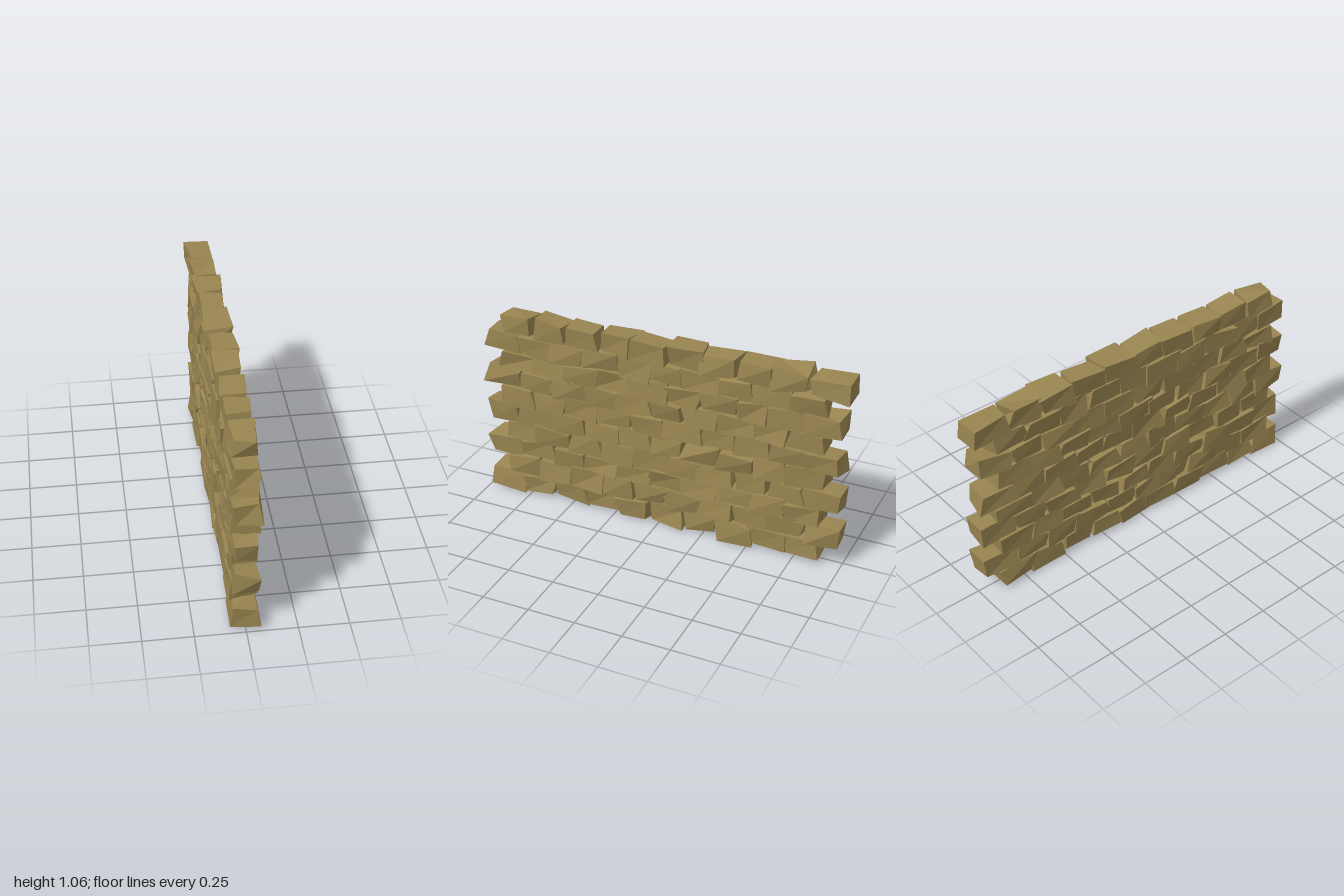
import * as THREE from 'three';

const ROWS = 10, PER_ROW = 10;
const PITCH = 0.1865, ROW_HEIGHT = 0.1025, BASE = 0.018;
const SIZE = new THREE.Vector3(0.126, 0.103, 0.186);
const JITTER = new THREE.Vector3(0.015, 0.016, 0.0225);

// Small seeded generator returning values in -1..1
function seeded(seed) {
  let s = seed;
  return () => {
    s = (s * 16807) % 2147483647;
    return (s / 2147483647) * 2 - 1;
  };
}

// Rough block: a box whose eight corners are each pushed a little out of place
function brickGeometry(rand) {
  const geo = new THREE.BoxGeometry(SIZE.x, SIZE.y, SIZE.z);
  const offsets = Array.from({ length: 8 }, () =>
    new THREE.Vector3(rand(), rand(), rand()).multiply(JITTER));
  const pos = geo.attributes.position;
  const v = new THREE.Vector3();
  for (let i = 0; i < pos.count; i++) {
    v.fromBufferAttribute(pos, i);
    const corner = (v.x > 0 ? 1 : 0) + (v.y > 0 ? 2 : 0) + (v.z > 0 ? 4 : 0);
    v.add(offsets[corner]);
    pos.setXYZ(i, v.x, v.y, v.z);
  }
  const flat = geo.toNonIndexed();
  flat.computeVertexNormals();
  return flat;
}

export function createModel() {
  const wall = new THREE.Group();
  wall.name = 'brickWall';
  const material = new THREE.MeshStandardMaterial({ color: 0x998551, flatShading: true });
  const rand = seeded(4711);

  // Courses in running bond, alternately shifted to the front and back
  for (let row = 0; row < ROWS; row++) {
    const course = new THREE.Group();
    course.name = `course${row + 1}`;
    course.position.set(0, BASE + (row + 0.5) * ROW_HEIGHT, row % 2 ? -0.045 : 0.045);
    for (let i = 0; i < PER_ROW; i++) {
      const brick = new THREE.Mesh(brickGeometry(rand), material);
      brick.name = 'brick';
      brick.position.z = (i - (PER_ROW - 1) / 2) * PITCH;
      course.add(brick);
    }
    wall.add(course);
  }
  return wall;
}
